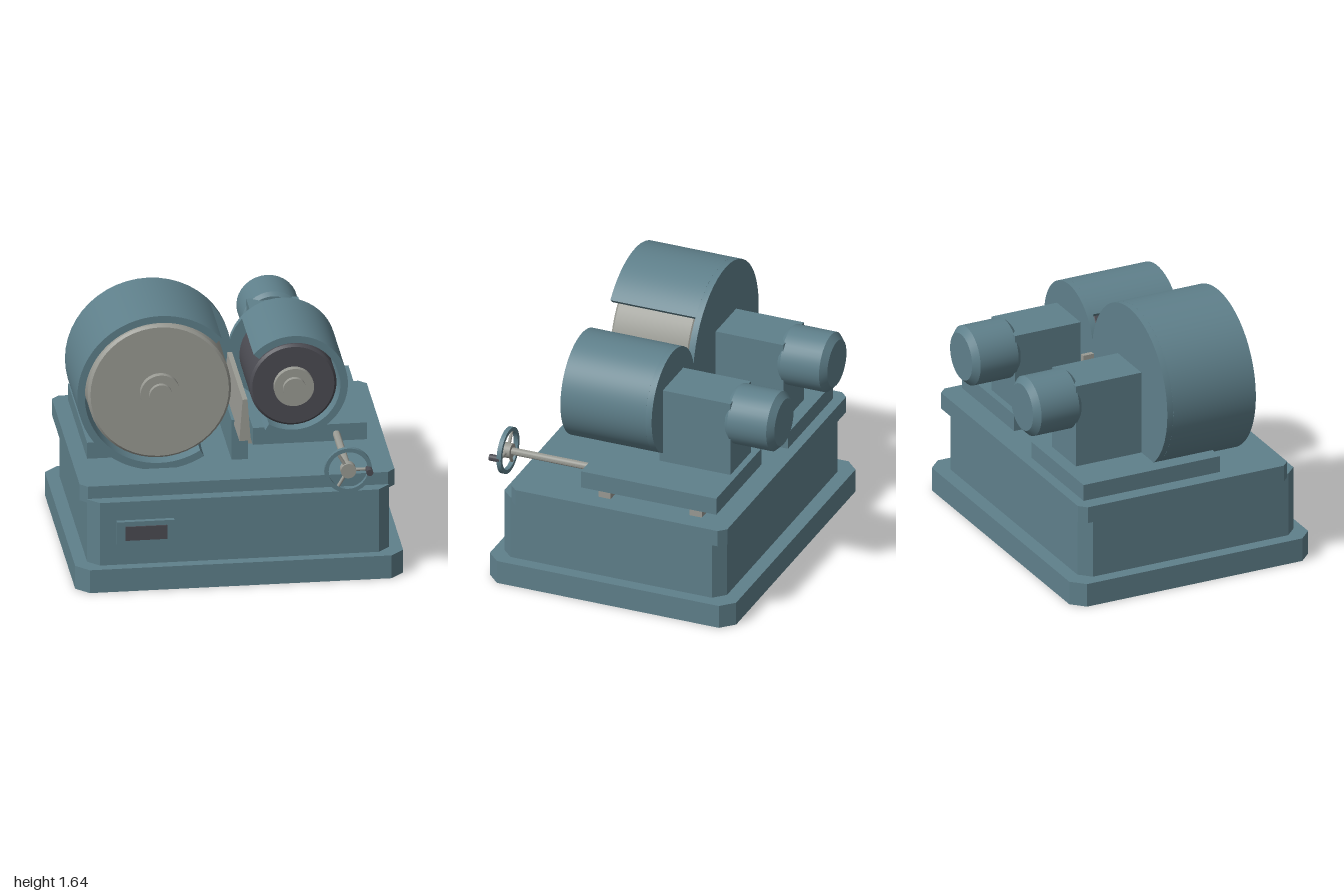
import * as THREE from 'three';
import { toCreasedNormals } from 'three/addons/utils/BufferGeometryUtils.js';

const mat = (name, color) => Object.assign(new THREE.MeshStandardMaterial({ color }), { name });

export function createModel() {
  const paint = mat('bluePaint', 0x5f808b);
  const steel = mat('paleSteel', 0x9a9b94);
  const dark = mat('darkRubber', 0x4b4b52);
  const model = new THREE.Group();

  const add = (name, geo, material, parent = model) => {
    const mesh = new THREE.Mesh(geo, material);
    mesh.name = name;
    parent.add(mesh);
    return mesh;
  };
  // Box given by its limits on each axis
  const box = (name, [x0, x1], [y0, y1], [z0, z1], material, parent) =>
    add(name, new THREE.BoxGeometry(x1 - x0, y1 - y0, z1 - z0)
      .translate((x0 + x1) / 2, (y0 + y1) / 2, (z0 + z1) / 2), material, parent);
  // Slab with cut corners
  const slab = (name, w, [z0, z1], [y0, y1], c) => {
    const s = new THREE.Shape([
      [-w + c, z0], [w - c, z0], [w, z0 + c], [w, z1 - c],
      [w - c, z1], [-w + c, z1], [-w, z1 - c], [-w, z0 + c],
    ].map(([x, z]) => new THREE.Vector2(x, z)));
    const geo = new THREE.ExtrudeGeometry(s, { depth: y1 - y0, bevelEnabled: false });
    return add(name, geo.rotateX(Math.PI / 2).translate(0, y1, 0), paint);
  };
  // Solid turned about the z axis from [radius, z] points, back to front
  const turned = (name, profile, material, parent, segments = 40) => {
    const geo = new THREE.LatheGeometry(profile.map(([r, z]) => new THREE.Vector2(r, z)), segments);
    return add(name, toCreasedNormals(geo.rotateX(Math.PI / 2), 0.5), material, parent);
  };
  const disc = (name, r, z0, z1, material, parent, segments) =>
    turned(name, [[0, z0], [r, z0], [r, z1], [0, z1]], material, parent, segments);

  // Machine bed
  slab('plinth', 1, [-0.8, 0.82], [0, 0.15], 0.08);
  slab('bedBody', 0.92, [-0.71, 0.755], [0.15, 0.56], 0.07);
  slab('tableTop', 0.96, [-0.74, 0.68], [0.535, 0.64], 0.045);

  // Control panel
  box('panelFrame', [-0.75, -0.4], [0.29, 0.44], [0.75, 0.785], paint);
  box('panelScreen', [-0.7, -0.445], [0.32, 0.41], [0.78, 0.793], dark);

  // Wheel supports
  box('grindingBase', [-0.865, -0.17], [0.64, 0.745], [-0.675, 0.25], paint);
  box('slide', [0.145, 0.84], [0.68, 0.79], [-0.635, 0.255], paint);
  for (const z of [0.1, -0.5]) box('slideRail', [0.127, 0.84], [0.64, 0.68], [z - 0.04, z + 0.04], steel);

  // Wheel head: guard, wheel, hub, gearbox and motor
  const wheelHead = (name, x, guardR, wheelR, wheelMat, openFrom, openTo, footY) => {
    const head = new THREE.Group();
    head.name = name;
    head.position.set(x, 1.135, 0);
    model.add(head);
    const rad = THREE.MathUtils.degToRad;
    const inner = guardR - 0.045;
    const ring = new THREE.Shape();
    ring.absarc(0, 0, guardR, rad(openTo), rad(openFrom + 360), false);
    ring.absarc(0, 0, inner, rad(openFrom + 360), rad(openTo), true);
    ring.closePath();
    const shell = new THREE.ExtrudeGeometry(ring, { depth: 0.56, bevelEnabled: false, curveSegments: 40 });
    add('guardShell', toCreasedNormals(shell.translate(0, 0, -0.11), 0.5), paint, head);
    disc('guardBack', guardR, -0.15, -0.11, paint, head, 48);
    turned('wheel', [[0, -0.09], [wheelR - 0.015, -0.09], [wheelR, -0.075],
      [wheelR, 0.415], [wheelR - 0.015, 0.43], [0, 0.43]], wheelMat, head, 48);
    disc('flange', 0.122, 0.42, 0.47, steel, head);
    disc('hub', 0.07, 0.46, 0.5, steel, head);
    box('gearbox', [-0.158, 0.158], [footY - 1.135, 0.142], [-0.595, -0.13], paint, head);
    turned('motor', [[0, -0.88], [0.148, -0.88], [0.187, -0.842],
      [0.187, -0.585], [0.165, -0.56], [0, -0.56]], paint, head, 32);
  };
  wheelHead('grindingWheelHead', -0.445, 0.505, 0.437, steel, -58, 42, 0.745);
  wheelHead('regulatingWheelHead', 0.37, 0.33, 0.265, dark, 138, 238, 0.79);

  // Work rest with tapered blade
  box('workRest', [0, 0.1], [0.64, 0.9], [-0.19, 0.375], paint);
  const bladeShape = new THREE.Shape([[0.015, 0.87], [0.085, 0.87], [0.065, 1.14], [0.035, 1.14]]
    .map(([x, y]) => new THREE.Vector2(x, y)));
  add('workBlade', new THREE.ExtrudeGeometry(bladeShape, { depth: 0.85, bevelEnabled: false })
    .translate(0, 0, -0.22), steel);

  // Feed handwheel
  const feed = new THREE.Group();
  feed.name = 'feedHandwheel';
  feed.position.set(0.655, 0.725, 0);
  model.add(feed);
  disc('feedShaft', 0.023, 0.25, 0.82, steel, feed, 16);
  disc('handwheelHub', 0.047, 0.785, 0.838, steel, feed, 24);
  turned('handwheelRim', [[0.12, 0.8], [0.145, 0.8], [0.145, 0.828], [0.12, 0.828], [0.12, 0.8]], paint, feed);
  for (let i = 0; i < 3; i++) {
    const spoke = new THREE.CylinderGeometry(0.01, 0.01, 0.12, 10)
      .translate(0, 0.068, 0).rotateZ(-Math.PI / 2 + i * Math.PI * 2 / 3).translate(0, 0, 0.814);
    add('spoke', spoke, steel, feed);
  }
  disc('crankKnob', 0.021, 0.81, 0.88, dark, feed, 16).position.x = 0.125;

  return model;
}
